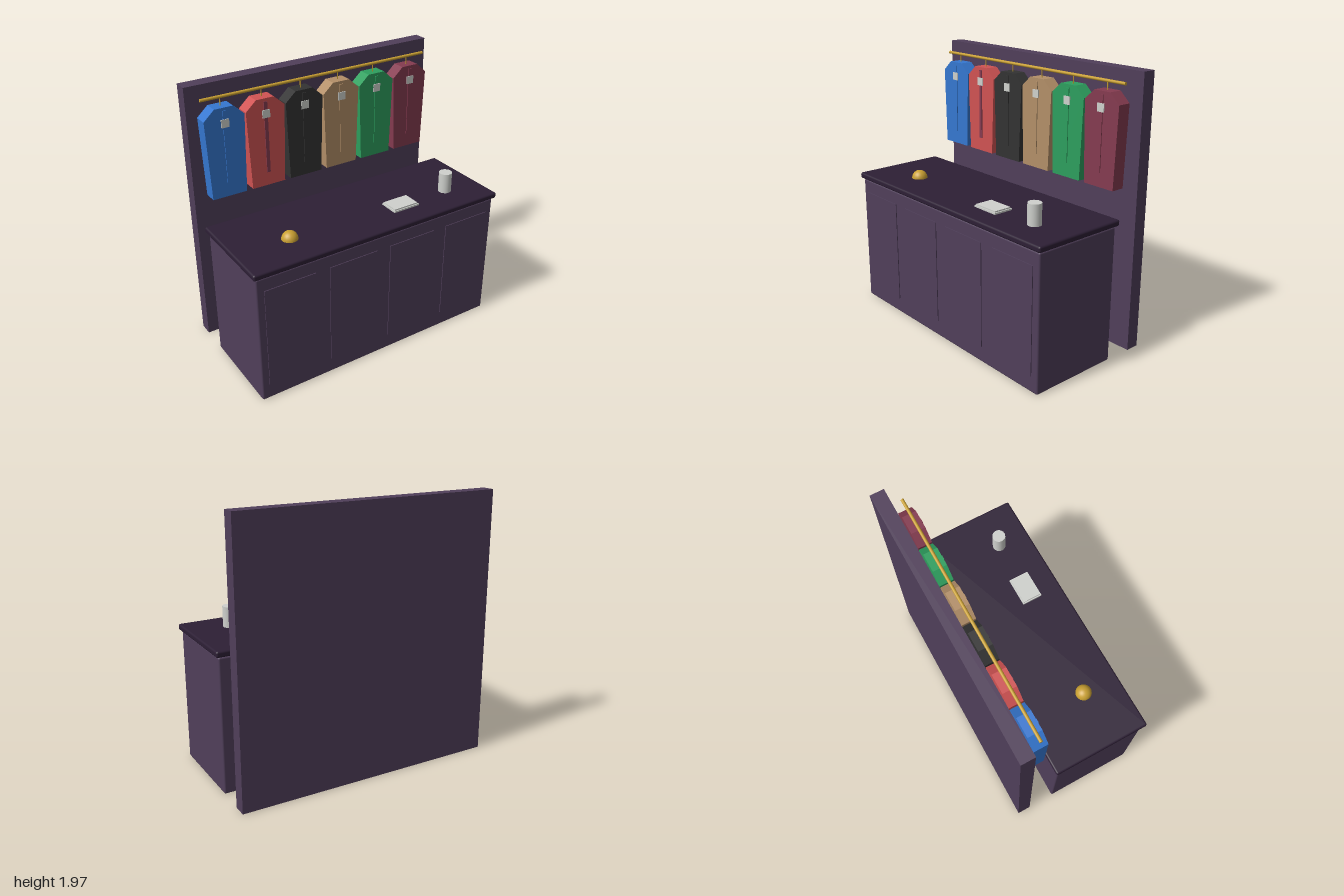
import * as THREE from 'three';
import { RoundedBoxGeometry } from 'three/addons/geometries/RoundedBoxGeometry.js';

const mat = (name, color) => {
  const m = new THREE.MeshStandardMaterial({ color });
  m.name = name;
  return m;
};

export function createModel() {
  const group = new THREE.Group();
  const wood = mat('plum wood', 0x503f5a);
  const darkWood = mat('dark plum', 0x2d1f35);
  const gold = mat('brass', 0xc9a032);
  const pale = mat('pale grey', 0xcfd1cd);
  const maroon = mat('maroon', 0x853b50);
  const red = mat('red', 0xd05353);
  const cloths = [
    mat('blue', 0x3577d0), red, mat('charcoal', 0x333333),
    mat('tan', 0xb38f68), mat('green', 0x2d9f5e), maroon,
  ];

  const add = (name, geometry, material, x, y, z, parent = group) => {
    const mesh = new THREE.Mesh(geometry, material);
    mesh.name = name;
    mesh.position.set(x, y, z);
    parent.add(mesh);
    return mesh;
  };
  const box = (w, h, d) => new THREE.BoxGeometry(w, h, d);

  // Back wall
  add('backWall', box(1.96, 1.965, 0.1), wood, 0, 0.9825, -0.45);

  // Counter with four raised front panels
  add('counterBody', new RoundedBoxGeometry(1.96, 0.98, 0.68, 2, 0.012), wood, 0, 0.49, 0.14);
  add('counterTop', new RoundedBoxGeometry(2, 0.044, 0.72, 2, 0.014), darkWood, 0, 1.008, 0.14);
  for (let i = 0; i < 4; i++) {
    add('frontPanel', box(0.38, 0.765, 0.012), wood, (i - 1.5) * 0.49, 0.5, 0.48);
  }

  // Items on the counter
  add('bell', new THREE.SphereGeometry(0.058, 20, 8, 0, Math.PI * 2, 0, Math.PI / 2), gold, -0.59, 1.03, 0.23);
  add('bookCover', box(0.214, 0.012, 0.15), pale, 0.3, 1.036, 0.262);
  add('bookPages', box(0.196, 0.01, 0.134), pale, 0.3, 1.046, 0.262);
  add('cup', new THREE.CylinderGeometry(0.048, 0.048, 0.15, 20), pale, 0.703, 1.105, 0.262);

  // Clothes rail
  const rail = new THREE.CylinderGeometry(0.011, 0.011, 1.806, 12).rotateZ(Math.PI / 2);
  add('clothesRail', rail, gold, -0.003, 1.887, -0.322);

  // Garment bag outline: sloped shoulders, tapering to the hem
  const outline = new THREE.Shape([
    [-0.128, 1.18], [0.128, 1.18], [0.147, 1.755], [0.068, 1.827], [-0.068, 1.827], [-0.147, 1.755],
  ].map(([x, y]) => new THREE.Vector2(x, y)));
  const bagGeometry = new THREE.ExtrudeGeometry(outline, { depth: 0.1, bevelEnabled: false });
  const hookGeometry = new THREE.CylinderGeometry(0.004, 0.004, 0.065, 8);

  cloths.forEach((cloth, i) => {
    const bag = new THREE.Group();
    bag.name = 'garmentBag';
    bag.position.x = -0.767 + i * 0.3036;
    group.add(bag);
    add('bagBody', bagGeometry, cloth, 0, 0, -0.372, bag);
    add('zip', box(0.026, 0.525, 0.008), cloth === red ? maroon : cloth, 0, 1.543, -0.27, bag);
    add('tag', box(0.058, 0.058, 0.006), pale, 0, 1.719, -0.264, bag);
    add('hook', hookGeometry, gold, 0, 1.855, -0.322, bag);
  });

  return group;
}
